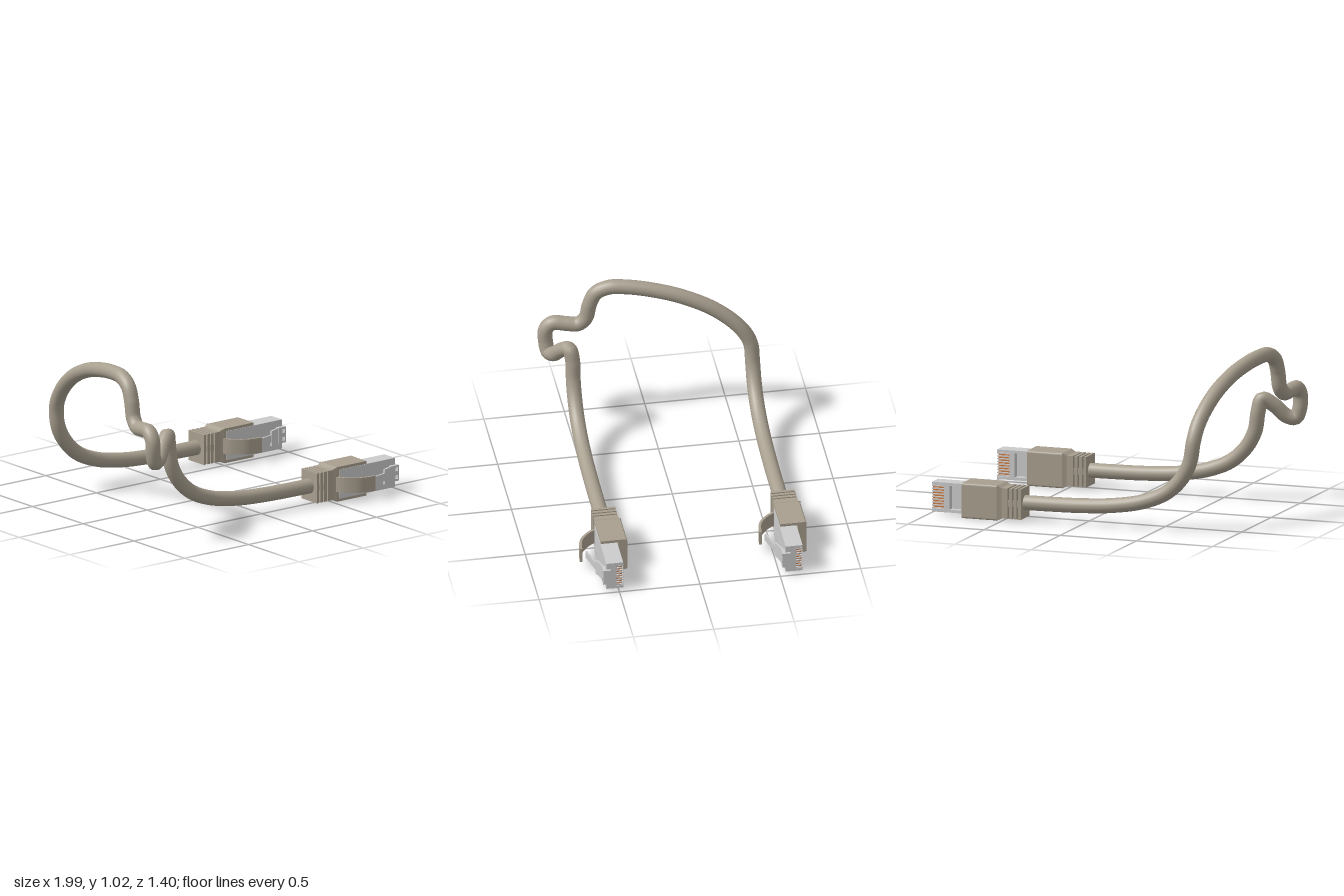
import * as THREE from 'three';

const beige = new THREE.MeshStandardMaterial({ color: 0xa89f8f });
const grey = new THREE.MeshStandardMaterial({ color: 0xcccccc });
const copper = new THREE.MeshStandardMaterial({ color: 0xd07a40 });
const dark = new THREE.MeshStandardMaterial({ color: 0x77756f });

const MID = 0.115; // height of the cable and plug axis

function add(group, name, geometry, material) {
  const mesh = new THREE.Mesh(geometry, material);
  mesh.name = name;
  group.add(mesh);
  return mesh;
}

// Box given by its limits on each axis
function box(group, name, material, [x0, x1], [y0, y1], [z0, z1]) {
  const g = new THREE.BoxGeometry(x1 - x0, y1 - y0, z1 - z0);
  g.translate((x0 + x1) / 2, (y0 + y1) / 2, (z0 + z1) / 2);
  return add(group, name, g, material);
}

// Thin strip following an (x, z) curve, extruded along y
function strip(group, name, material, points, thick, [y0, y1]) {
  const curve = new THREE.SplineCurve(points.map(([x, z]) => new THREE.Vector2(x, -z)));
  const outer = [], inner = [];
  for (let i = 0; i <= 20; i++) {
    const p = curve.getPoint(i / 20), t = curve.getTangent(i / 20);
    const n = new THREE.Vector2(-t.y, t.x).multiplyScalar(thick / 2);
    outer.push(p.clone().add(n));
    inner.unshift(p.clone().sub(n));
  }
  const g = new THREE.ExtrudeGeometry(new THREE.Shape([...outer, ...inner]), { depth: y1 - y0, bevelEnabled: false });
  g.rotateX(-Math.PI / 2).translate(0, y0, 0);
  return add(group, name, g, material);
}

// Ribbed strain relief, with bridges joining the ribs
function buildStrainRelief(plug) {
  const relief = new THREE.Group();
  relief.name = 'strainRelief';
  box(relief, 'reliefCore', dark, [0.385, 0.51], [0.04, 0.19], [-0.055, 0.055]);
  for (const [a, b] of [[0.375, 0.393], [0.403, 0.423], [0.433, 0.453], [0.463, 0.505]]) {
    box(relief, 'rib', beige, [a, b], [0.02, 0.21], [-0.075, 0.075]);
  }
  box(relief, 'bridgeAcross', beige, [0.38, 0.5], [MID - 0.02, MID + 0.02], [-0.066, 0.066]);
  box(relief, 'bridgeUpright', beige, [0.38, 0.5], [0.028, 0.202], [-0.02, 0.02]);
  plug.add(relief);
}

// Boot: a channel open at the front, a cover, a taper and a curved guard
function buildBoot(plug) {
  const boot = new THREE.Group();
  boot.name = 'boot';
  const r = 0.014, lo = 0.005, hi = 0.225, back = 0.085, front = -0.08;
  const s = new THREE.Shape();
  s.moveTo(front, lo);
  s.lineTo(back - r, lo);
  s.quadraticCurveTo(back, lo, back, lo + r);
  s.lineTo(back, hi - r);
  s.quadraticCurveTo(back, hi, back - r, hi);
  s.lineTo(front, hi);
  s.lineTo(front, 0.206);
  s.lineTo(0.03, 0.206);
  s.lineTo(0.03, 0.024);
  s.lineTo(front, 0.024);
  s.closePath();
  const channel = new THREE.ExtrudeGeometry(s, { depth: 0.23, bevelEnabled: false, curveSegments: 6 });
  channel.rotateY(Math.PI / 2).translate(0.53, 0, 0);
  add(boot, 'bootChannel', channel, beige);
  box(boot, 'bootCover', beige, [0.53, 0.67], [0.023, 0.207], [-0.035, 0.08]);

  const taperMaterial = beige.clone();
  taperMaterial.flatShading = true;
  const taper = new THREE.CylinderGeometry(0.11 * Math.SQRT2, 0.095 * Math.SQRT2, 0.03, 4);
  taper.rotateY(Math.PI / 4).rotateZ(-Math.PI / 2).scale(1, 1, 0.75).translate(0.515, MID, -0.0025);
  add(boot, 'bootTaper', taper, taperMaterial);

  strip(boot, 'clipGuard', beige,
    [[0.525, 0.065], [0.555, 0.118], [0.61, 0.168], [0.665, 0.19], [0.73, 0.197]], 0.016, [0.068, 0.163]);
  plug.add(boot);
}

// Clear plug body with contact slots on the back and a latch on the front
function buildConnector(plug) {
  const body = new THREE.Group();
  body.name = 'connector';
  const zBack = -0.022, zFloor = 0.02;
  box(body, 'bodyBlock', grey, [0.55, 0.98], [0.022, 0.207], [zFloor, 0.083]);
  for (const y of [0.022, 0.189]) box(body, 'sideWall', grey, [0.55, 0.98], [y, y + 0.018], [zBack, zFloor]);
  box(body, 'rearPlate', grey, [0.55, 0.79], [0.04, 0.189], [zBack, zFloor]);
  box(body, 'crossBar', grey, [0.865, 0.9], [0.04, 0.189], [zBack, zFloor]);
  const pitch = 0.0172;
  for (let i = 0; i < 9; i++) {
    const y = MID + (i - 4) * pitch;
    box(body, 'slotDivider', grey, [0.9, 0.98], [y - 0.0035, y + 0.0035], [zBack, zFloor]);
    if (i < 8) box(body, 'contact', copper, [0.9, 0.974], [y + 0.0045, y + pitch - 0.0045], [-0.015, zFloor]);
  }

  // Latch: stepped nose with two small openings, then a springy lever
  const plate = new THREE.Shape();
  plate.moveTo(0.935, 0.065);
  plate.lineTo(0.995, 0.065);
  plate.lineTo(0.995, 0.165);
  plate.lineTo(0.935, 0.165);
  plate.closePath();
  for (const y of [0.09, 0.14]) {
    const hole = new THREE.Path();
    hole.moveTo(0.965, y - 0.012);
    hole.lineTo(0.965, y + 0.012);
    hole.lineTo(0.985, y + 0.012);
    hole.lineTo(0.985, y - 0.012);
    hole.closePath();
    plate.holes.push(hole);
  }
  const nose = new THREE.ExtrudeGeometry(plate, { depth: 0.022, bevelEnabled: false });
  nose.translate(0, 0, 0.083);
  add(body, 'latchNose', nose, grey);
  box(body, 'latchLip', grey, [0.979, 0.995], [0.065, 0.165], [0.055, 0.084]);
  strip(body, 'latchBase', grey, [[0.945, 0.093], [0.91, 0.106], [0.86, 0.126]], 0.012, [0.067, 0.163]);
  strip(body, 'latchLever', grey,
    [[0.92, 0.102], [0.87, 0.123], [0.8, 0.141], [0.72, 0.164]], 0.011, [0.092, 0.139]);
  plug.add(body);
}

function buildPlug(name, z) {
  const plug = new THREE.Group();
  plug.name = name;
  buildStrainRelief(plug);
  buildBoot(plug);
  buildConnector(plug);
  plug.position.z = z;
  return plug;
}

export function createModel() {
  const model = new THREE.Group();
  model.name = 'patchCable';
  const zFront = 0.495, zBack = -0.62;

  // Both ends of the cable rise along the same (x, y) sweep
  const sweep = [[0.42, MID], [0.2, 0.117], [0, 0.122], [-0.2, 0.137], [-0.4, 0.175],
    [-0.55, 0.24], [-0.65, 0.335], [-0.705, 0.44]];
  const middle = [
    [-0.725, 0.56, 0.495], [-0.745, 0.635, 0.511], [-0.81, 0.594, 0.55], [-0.875, 0.525, 0.59],
    [-0.925, 0.513, 0.614], [-0.948, 0.57, 0.625], [-0.952, 0.66, 0.624], [-0.946, 0.706, 0.582],
    [-0.931, 0.702, 0.5], [-0.918, 0.7, 0.43], [-0.91, 0.745, 0.383], [-0.906, 0.85, 0.358],
    [-0.9, 0.93, 0.32], [-0.886, 0.971, 0.24], [-0.87, 0.974, 0.15], [-0.843, 0.956, 0],
    [-0.805, 0.905, -0.2], [-0.768, 0.81, -0.4], [-0.738, 0.68, -0.55], [-0.725, 0.57, -0.61],
  ];
  const points = [
    ...sweep.map(([x, y]) => new THREE.Vector3(x, y, zFront)),
    ...middle.map((p) => new THREE.Vector3(...p)),
    ...sweep.slice().reverse().map(([x, y]) => new THREE.Vector3(x, y, zBack)),
  ];
  const path = new THREE.CatmullRomCurve3(points, false, 'centripetal');
  add(model, 'cable', new THREE.TubeGeometry(path, 360, 0.046, 20), beige);

  model.add(buildPlug('frontPlug', zFront), buildPlug('backPlug', zBack));
  return model;
}
